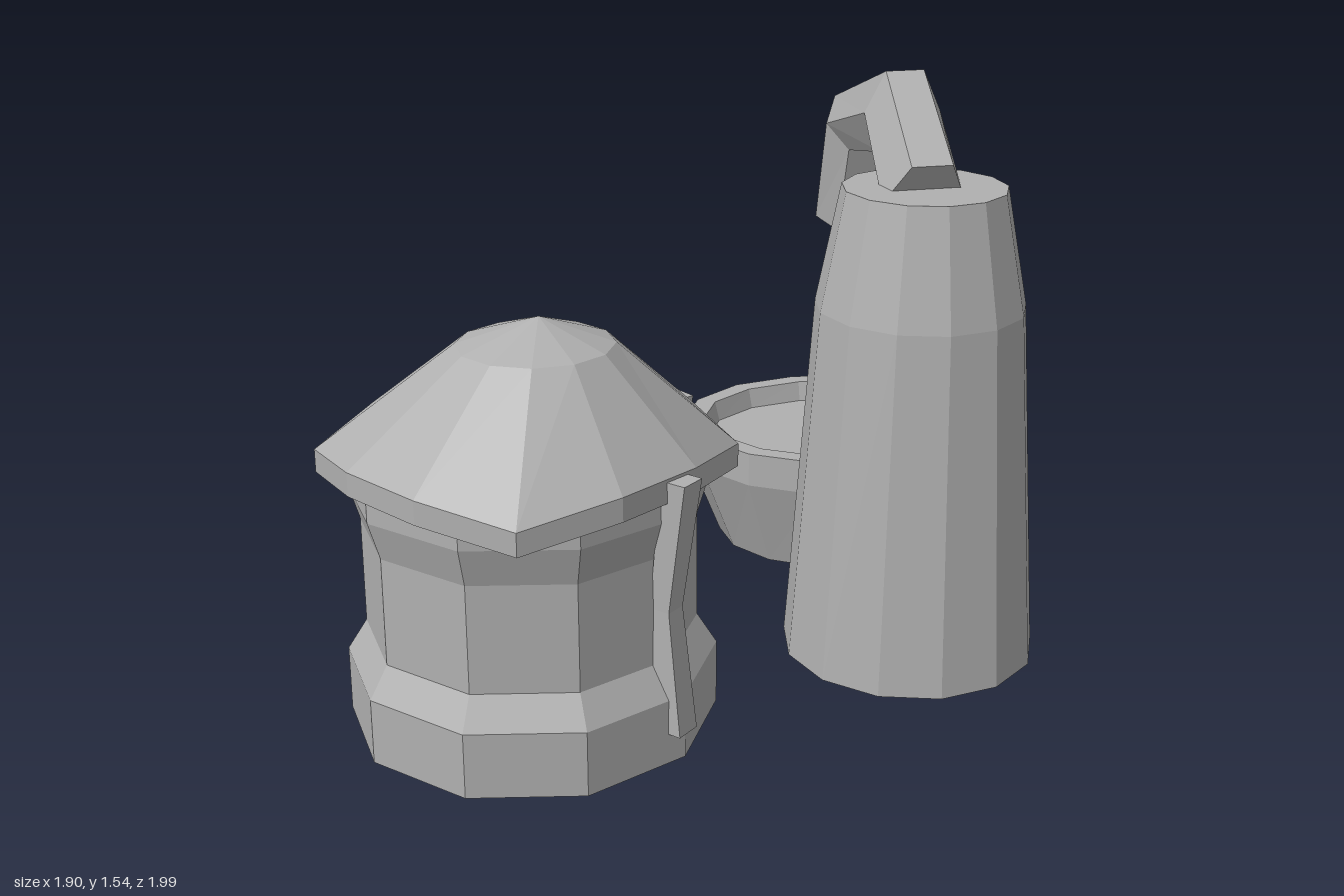
import * as THREE from 'three';

const grey = new THREE.MeshStandardMaterial({ color: 0xb0b0b0, flatShading: true, side: THREE.DoubleSide });
grey.name = 'grey';
const V = (x, y, z) => new THREE.Vector3(x, y, z);

// Skin a list of equal-sized rings, with optional end caps.
function loft(name, rings, capStart = false, capEnd = false) {
  const pos = [];
  const tri = (...pts) => pts.forEach((p) => pos.push(p.x, p.y, p.z));
  const n = rings[0].length;
  for (let k = 0; k < rings.length - 1; k++) {
    const a = rings[k], b = rings[k + 1];
    for (let i = 0; i < n; i++) {
      const j = (i + 1) % n;
      tri(a[i], a[j], b[j]);
      tri(a[i], b[j], b[i]);
    }
  }
  const cap = (ring, flip) => {
    const c = ring.reduce((s, p) => s.add(p), V(0, 0, 0)).divideScalar(n);
    ring.forEach((p, i) => {
      const q = ring[(i + 1) % n];
      if (flip) tri(c, q, p); else tri(c, p, q);
    });
  };
  if (capStart) cap(rings[0], true);
  if (capEnd) cap(rings[rings.length - 1], false);
  const g = new THREE.BufferGeometry();
  g.setAttribute('position', new THREE.Float32BufferAttribute(pos, 3));
  g.computeVertexNormals();
  const m = new THREE.Mesh(g, grey);
  m.name = name;
  return m;
}

// Horizontal polygon; the angle runs from +z towards +x.
function ring(n, y, rx, rz = rx, start = 0, cx = 0, cz = 0) {
  return Array.from({ length: n }, (_, i) => {
    const a = start + (i / n) * Math.PI * 2;
    return V(cx + Math.sin(a) * rx, y, cz + Math.cos(a) * rz);
  });
}

function makeHut() {
  const hut = new THREE.Group();
  hut.name = 'hut';
  hut.position.set(-0.43, 0, 0.47);

  // ten-sided waisted wall, open below
  const wall = [[0, 0.47], [0.17, 0.47], [0.25, 0.42], [0.53, 0.42], [0.63, 0.45], [0.72, 0.45]];
  hut.add(loft('wall', wall.map(([y, r]) => ring(10, y, r, r, Math.PI / 10))));

  // roof with four drooping corners and an off-centre peak
  const eave = (yCorner, ySide, inset) => Array.from({ length: 12 }, (_, i) => {
    const corner = i % 3 === 0, a = (i * Math.PI) / 6;
    const r = (corner ? 0.522 : 0.472) - inset;
    return V(Math.sin(a) * r, corner ? yCorner : ySide, Math.cos(a) * r);
  });
  hut.add(loft('roof', [
    eave(0.68, 0.7, 0.1), eave(0.655, 0.687, 0), eave(0.715, 0.748, 0),
    ring(12, 1.0, 0.195, 0.19, 0, 0.03, 0.05), ring(12, 1.07, 0.001, 0.001, 0, 0.04, 0.06),
  ]));

  // two waisted posts against the left wall
  for (const side of [1, -1]) {
    const post = loft('post', [[0.08, 0.455, 1], [0.4, 0.425, 0.8], [0.74, 0.47, 1]].map(([y, r, s]) =>
      [[0.035, -0.035], [0.035, 0.035], [-0.035, 0.035], [-0.035, -0.035]]
        .map(([t, d]) => V(-t * s, y, r + d * s)).reverse()), true, true);
    post.rotation.y = Math.PI / 2 - side * 0.66;
    hut.add(post);
  }

  // pointed door slab at the back
  const arch = new THREE.Shape([[-0.205, 0], [0.205, 0], [0.205, 0.31], [0.13, 0.43], [0, 0.53], [-0.13, 0.43], [-0.205, 0.31]]
    .map(([x, y]) => new THREE.Vector2(x, y)));
  const door = new THREE.Mesh(new THREE.ExtrudeGeometry(arch, { depth: 0.13, bevelEnabled: false }), grey);
  door.name = 'door';
  door.position.z = -0.47;
  hut.add(door);
  return hut;
}

// seven-sided spindle
function makePod(name, x, y, z, s) {
  const pod = loft(name, [[0, 0.045], [0.09, 0.093], [0.17, 0.06], [0.26, 0.015]]
    .map(([h, r]) => ring(7, h, r)), true, true);
  pod.position.set(x, y, z);
  pod.scale.setScalar(s);
  return pod;
}

function makeTower() {
  const tower = new THREE.Group();
  tower.name = 'tower';
  const body = loft('towerBody', [[0, 0.345], [0.97, 0.277], [1.285, 0.215]]
    .map(([y, r]) => ring(13, y, r, r, Math.PI / 2)), false, true);
  body.position.set(0.585, 0, 0.147);
  tower.add(body);

  // bent six-sided spout: centre, radius and tilt of each section
  const spout = [
    [V(0.58, 1.25, 0.16), 0.12, 0.5],
    [V(0.56, 1.425, -0.125), 0.115, 0.1],
    [V(0.485, 1.325, -0.475), 0.1, -0.85],
    [V(0.46, 1.033, -0.555), 0.09, -1.28],
  ];
  const yaw = 0.19;
  tower.add(loft('spout', spout.map(([c, r, tilt]) => {
    const u = V(-Math.cos(yaw), 0, Math.sin(yaw));
    const t = V(-Math.sin(yaw) * Math.cos(tilt), Math.sin(tilt), -Math.cos(yaw) * Math.cos(tilt));
    const v = t.clone().cross(u);
    return Array.from({ length: 6 }, (_, i) => {
      const a = (i * Math.PI) / 3;
      return c.clone().addScaledVector(u, Math.cos(a) * r * 0.92).addScaledVector(v, Math.sin(a) * r * 1.12);
    });
  }), true, true));
  return tower;
}

// oval basin with thick rim and a filled surface, open below
function makeBasin() {
  const profile = [[0, 0.365, 0.31], [0.27, 0.475, 0.388], [0.37, 0.475, 0.388], [0.37, 0.415, 0.333], [0.31, 0.4, 0.318]];
  const basin = loft('basin', profile.map(([y, rx, rz]) => ring(14, y, rx, rz, Math.PI / 2)), false, true);
  basin.position.set(0.47, 0, -0.622);
  return basin;
}

export function createModel() {
  const model = new THREE.Group();
  model.name = 'hutTowerAndBasin';
  model.add(makeHut(), makeTower(), makeBasin(),
    makePod('pod', -0.735, 0, -0.34, 1), makePod('doorKnob', -0.19, 0.05, 0.04, 0.55));
  return model;
}
